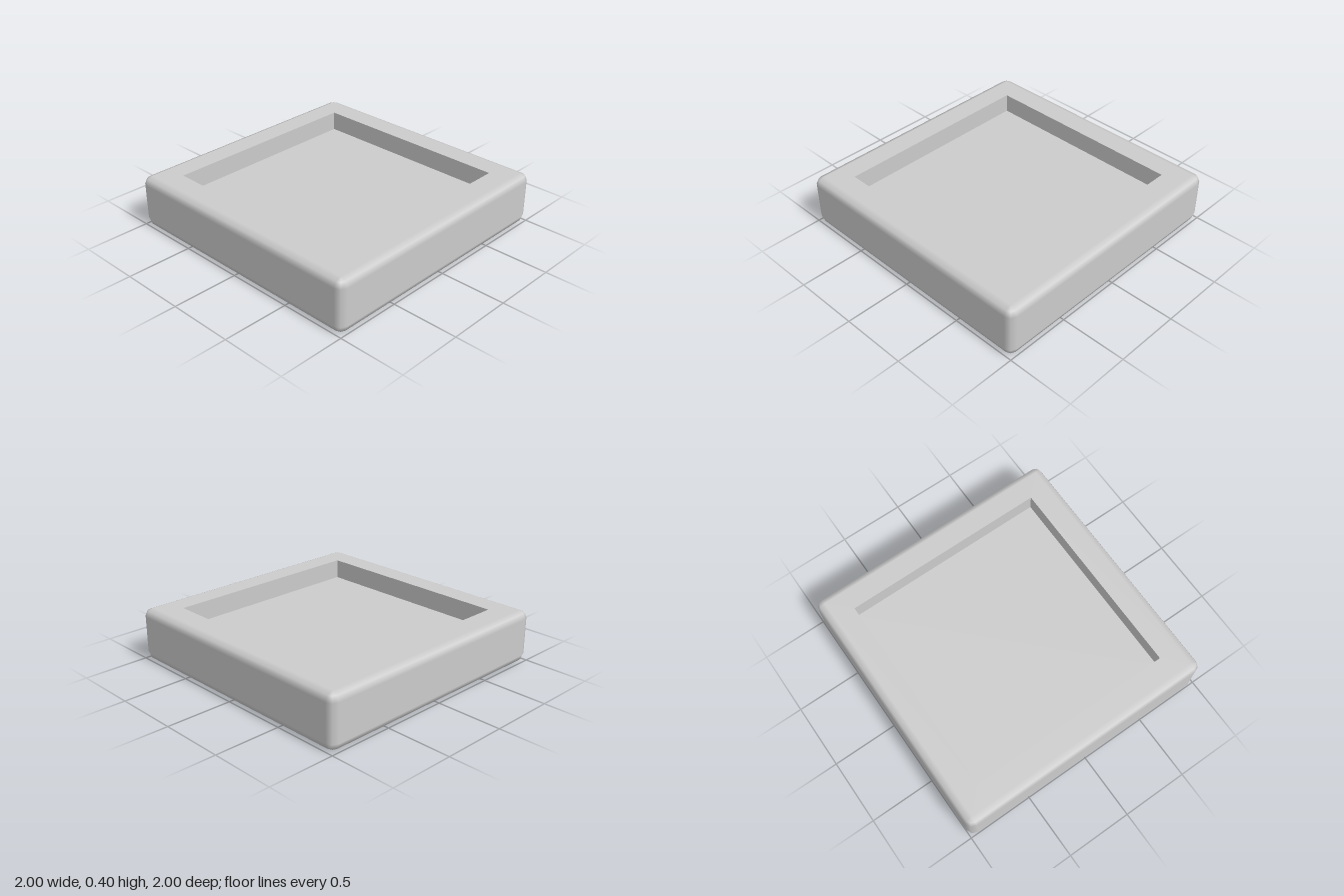
import * as THREE from 'three';

const HEIGHT = 0.4, HALF = 1, BEVEL = 0.06;
const TOP_HALF = 0.784, TOP_DEPTH = 0.148;        // recess above the panel
const BOTTOM_HALF = 0.833, BOTTOM_DEPTH = 0.207;  // recess below the panel

// Rounded square frame, lofted from the lower opening round to the upper one
function frameGeometry() {
  const core = HALF - BEVEL;
  const rings = [
    [BOTTOM_HALF, 0, -90],
    [core, BEVEL, -90], [core, BEVEL, -45], [core, BEVEL, 0],
    [core, HEIGHT - BEVEL, 0], [core, HEIGHT - BEVEL, 45], [core, HEIGHT - BEVEL, 90],
    [TOP_HALF, HEIGHT, 90],
  ];
  const positions = [], normals = [], index = [];
  const columns = 12; // three points on each of four corners
  rings.forEach(([half, y, degrees], i) => {
    const phi = THREE.MathUtils.degToRad(degrees);
    const radius = half === core ? BEVEL : 0;
    for (let j = 0; j < columns; j++) {
      const corner = Math.floor(j / 3);
      const theta = corner * Math.PI / 2 + (j % 3) * Math.PI / 4;
      const sx = corner === 0 || corner === 3 ? 1 : -1;
      const sz = corner < 2 ? 1 : -1;
      const n = [Math.cos(phi) * Math.cos(theta), Math.sin(phi), Math.cos(phi) * Math.sin(theta)];
      positions.push(sx * half + n[0] * radius, y + n[1] * radius, sz * half + n[2] * radius);
      normals.push(...n);
      if (i < rings.length - 1) {
        const a = i * columns + j, b = i * columns + (j + 1) % columns;
        index.push(a, a + columns, b, b, a + columns, b + columns);
      }
    }
  });
  const geometry = new THREE.BufferGeometry();
  geometry.setAttribute('position', new THREE.Float32BufferAttribute(positions, 3));
  geometry.setAttribute('normal', new THREE.Float32BufferAttribute(normals, 3));
  geometry.setIndex(index);
  return geometry;
}

// Four straight walls seen from inside
function wallsGeometry(half, depth, y) {
  const r = half * Math.SQRT2;
  return new THREE.CylinderGeometry(r, r, depth, 4, 1, true).rotateY(Math.PI / 4).translate(0, y, 0);
}

export function createModel() {
  const group = new THREE.Group();
  group.name = 'tray';
  const smooth = new THREE.MeshStandardMaterial({ color: 0xcccccc });
  const flat = new THREE.MeshStandardMaterial({ color: 0xcccccc, flatShading: true });
  const inside = new THREE.MeshStandardMaterial({ color: 0xcccccc, flatShading: true, side: THREE.BackSide });

  const add = (name, geometry, material) => {
    const mesh = new THREE.Mesh(geometry, material);
    mesh.name = name;
    group.add(mesh);
  };

  add('frame', frameGeometry(), smooth);
  add('upperWalls', wallsGeometry(TOP_HALF, TOP_DEPTH, HEIGHT - TOP_DEPTH / 2), inside);
  add('lowerWalls', wallsGeometry(BOTTOM_HALF, BOTTOM_DEPTH, BOTTOM_DEPTH / 2), inside);

  // Thin panel between the two recesses
  const thickness = HEIGHT - TOP_DEPTH - BOTTOM_DEPTH;
  const panel = new THREE.BoxGeometry(2 * BOTTOM_HALF, thickness, 2 * BOTTOM_HALF);
  add('panel', panel.translate(0, BOTTOM_DEPTH + thickness / 2, 0), flat);
  return group;
}
